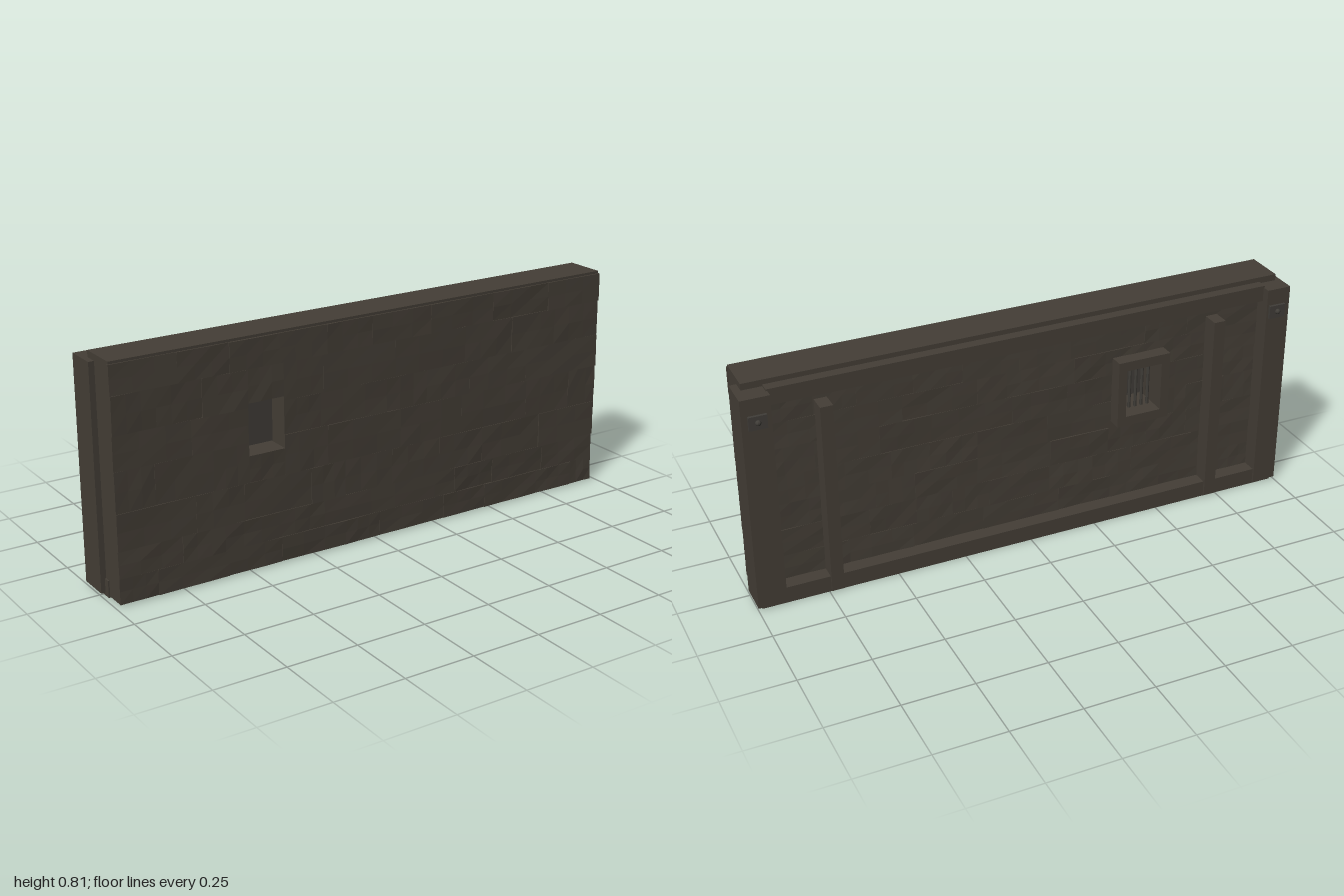
import * as THREE from 'three';

const stone = new THREE.MeshStandardMaterial({ color: 0x443e36, flatShading: true });
stone.name = 'dark stone';
const iron = new THREE.MeshStandardMaterial({ color: 0x403d38, flatShading: true });
iron.name = 'dark iron';

// Window opening
const WIN = { x0: -0.5, x1: -0.365, y0: 0.41, y1: 0.59 };
const WX = (WIN.x0 + WIN.x1) / 2, WY = (WIN.y0 + WIN.y1) / 2;

function seeded(seed) {
  return () => {
    seed = (seed * 16807) % 2147483647;
    return seed / 2147483647;
  };
}

// Box given by its minimum and maximum corners
function box(name, x0, x1, y0, y1, z0, z1, material = stone) {
  const mesh = new THREE.Mesh(new THREE.BoxGeometry(x1 - x0, y1 - y0, z1 - z0), material);
  mesh.position.set((x0 + x1) / 2, (y0 + y1) / 2, (z0 + z1) / 2);
  mesh.name = name;
  return mesh;
}

function holedSlab(name, x0, x1, y0, y1, z0, z1) {
  const rect = (Type, a, b, c, d) => {
    const p = new Type();
    p.moveTo(a, c); p.lineTo(b, c); p.lineTo(b, d); p.lineTo(a, d); p.closePath();
    return p;
  };
  const shape = rect(THREE.Shape, x0, x1, y0, y1);
  shape.holes.push(rect(THREE.Path, WIN.x0, WIN.x1, WIN.y0, WIN.y1));
  const mesh = new THREE.Mesh(new THREE.ExtrudeGeometry(shape, { depth: z1 - z0, bevelEnabled: false }), stone);
  mesh.position.z = z0;
  mesh.name = name;
  return mesh;
}

// One rough block: its outer face is tilted and slightly uneven
function block(x0, x1, y0, y1, z, side, rand) {
  const depth = 0.016;
  const g = new THREE.BoxGeometry(x1 - x0, y1 - y0, depth, 3, 2, 1);
  const p = g.attributes.position;
  const tiltX = (rand() - 0.5) * 0.006, tiltY = (rand() - 0.5) * 0.005, rise = rand() * 0.003;
  const bumps = Array.from({ length: 12 }, () => rand() * 0.003);
  for (let i = 0; i < p.count; i++) {
    if (p.getZ(i) * side < 0) continue;
    const u = p.getX(i) / (x1 - x0), v = p.getY(i) / (y1 - y0);
    const k = Math.round((u + 0.5) * 3) + 4 * Math.round((v + 0.5) * 2);
    p.setZ(i, side * (depth / 2 - 0.007 + rise + tiltX * u + tiltY * v + bumps[k]));
  }
  g.computeVertexNormals();
  const mesh = new THREE.Mesh(g, stone);
  mesh.position.set((x0 + x1) / 2, (y0 + y1) / 2, z);
  mesh.name = 'stoneBlock';
  return mesh;
}

// Courses of blocks, leaving the window open
function masonry(name, x0, x1, rows, z, side, seed) {
  const group = new THREE.Group();
  group.name = name;
  const rand = seeded(seed);
  const run = (a, b, y0, y1) => {
    let x = a;
    while (x < b - 0.001) {
      let end = x + 0.13 + rand() * 0.17;
      if (b - end < 0.09) end = b;
      group.add(block(x, end, y0, y1, z, side, rand));
      x = end;
    }
  };
  for (let i = 0; i < rows.length - 1; i++) {
    const y0 = rows[i], y1 = rows[i + 1];
    if (y1 <= WIN.y0 || y0 >= WIN.y1) {
      run(x0, x1, y0, y1);
      continue;
    }
    run(x0, WIN.x0, y0, y1);
    run(WIN.x1, x1, y0, y1);
    if (y0 < WIN.y0) group.add(block(WIN.x0, WIN.x1, y0, WIN.y0, z, side, rand));
    if (y1 > WIN.y1) group.add(block(WIN.x0, WIN.x1, WIN.y1, y1, z, side, rand));
  }
  return group;
}

export function createModel() {
  const model = new THREE.Group();
  model.name = 'stoneWallPanel';

  // Core and stone facing on both sides
  model.add(holedSlab('wallCore', -0.98, 0.975, 0.004, 0.78, -0.03, 0.108));
  const frontRows = [0.006, 0.095, 0.188, 0.316, 0.456, 0.575, 0.705, 0.806];
  model.add(masonry('frontStones', -0.982, 0.977, frontRows, 0.113, 1, 4711));
  const backRows = [0.05, 0.15, 0.25, 0.35, 0.455, 0.56, 0.655, 0.75];
  model.add(masonry('backStones', -0.92, 0.91, backRows, -0.035, -1, 977));

  // Horizontal beams
  model.add(box('topBeam', -0.98, 0.975, 0.765, 0.815, -0.033, 0.111));
  model.add(box('topLintel', -0.915, 0.905, 0.74, 0.798, -0.07, -0.02));
  model.add(box('bottomSill', -0.985, 0.985, 0, 0.06, -0.092, 0.037));

  // Corner posts with bolted plates, and slim back ribs
  for (const s of [-1, 1]) {
    const post = new THREE.Group();
    post.name = s > 0 ? 'leftPost' : 'rightPost';
    post.add(box('postShaft', s > 0 ? 0.9 : -1, s > 0 ? 1 : -0.91, 0.01, 0.792, -0.1, 0.014));
    const cx = s * 0.948;
    post.add(box('boltPlate', cx - 0.031, cx + 0.031, 0.685, 0.733, -0.11, -0.098, iron));
    const bolt = new THREE.Mesh(new THREE.SphereGeometry(0.01, 10, 8), iron);
    bolt.position.set(cx, 0.71, -0.111);
    bolt.name = 'bolt';
    post.add(bolt);
    model.add(post);
    model.add(box('backRib', s * 0.721 - 0.022, s * 0.721 + 0.022, 0.005, 0.71, -0.1, -0.03));
  }

  // Window: back frame, inner panel and bars
  const win = new THREE.Group();
  win.name = 'window';
  win.add(holedSlab('windowFrame', WIN.x0 - 0.032, WIN.x1 + 0.032, WIN.y0 - 0.035, WIN.y1 + 0.035, -0.09, -0.03));
  win.add(box('windowPanel', WIN.x0 + 0.006, WIN.x1 - 0.006, WIN.y0 + 0.007, WIN.y1 - 0.007, 0.04, 0.048, iron));
  for (let i = -2; i <= 2; i++) {
    const bar = new THREE.Mesh(new THREE.CylinderGeometry(0.006, 0.006, WIN.y1 - WIN.y0, 8), iron);
    bar.position.set(WX + i * 0.024, WY, -0.03);
    bar.name = 'windowBar';
    win.add(bar);
  }
  model.add(win);

  return model;
}
